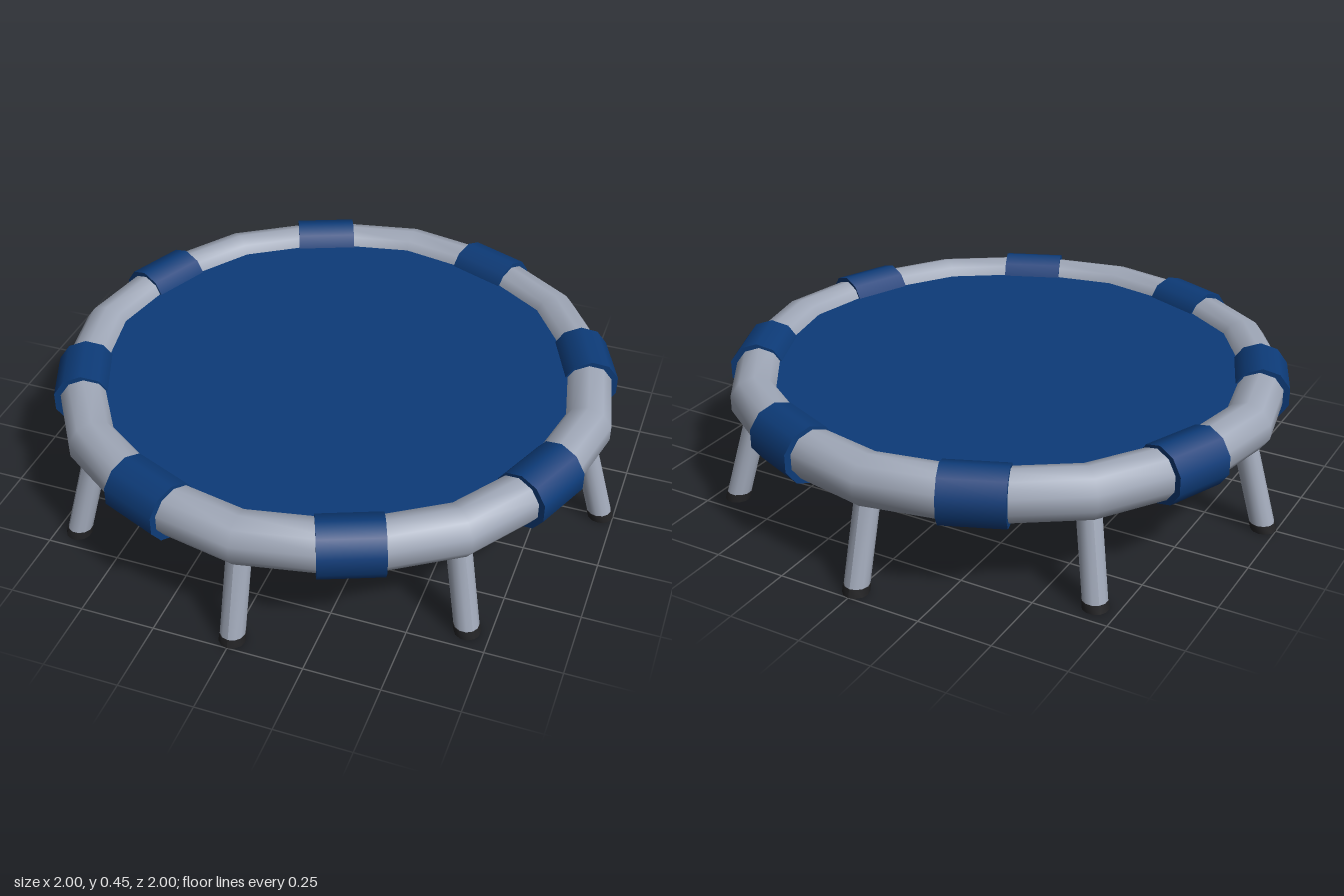
import * as THREE from 'three';

const RING_RADIUS = 0.871, RING_HEIGHT = 0.353, TUBE = 0.0855;
const LEG_BOTTOM = 0.957, LEG_SLOPE = 0.29; // outward lean per unit of height
const FOOT_HEIGHT = 0.026;

// Lean a vertical geometry inward (towards -z) as it rises, keeping its ends level
function lean(geometry) {
  const p = geometry.attributes.position;
  for (let i = 0; i < p.count; i++) {
    p.setZ(i, p.getZ(i) + LEG_BOTTOM - LEG_SLOPE * p.getY(i));
  }
  geometry.computeVertexNormals();
  return geometry;
}

export function createModel() {
  const model = new THREE.Group();
  model.name = 'trampoline';

  const material = (name, color) => {
    const m = new THREE.MeshStandardMaterial({ color });
    m.name = name;
    return m;
  };
  const blue = material('blue fabric', 0x0d3b78);
  const grey = material('grey metal', 0xa0a8b8);
  const black = material('black rubber', 0x222224);

  const add = (name, geometry, mat, angle = 0) => {
    const mesh = new THREE.Mesh(geometry, mat);
    mesh.name = name;
    mesh.rotation.y = angle;
    model.add(mesh);
  };

  // Frame: ten-sided tube swept round in sixteen straight runs
  const section = [];
  for (let i = 0; i <= 10; i++) {
    const a = -Math.PI / 2 + (i / 10) * Math.PI * 2;
    section.push(new THREE.Vector2(
      RING_RADIUS + TUBE * Math.cos(a), RING_HEIGHT + TUBE * Math.sin(a)));
  }
  add('frameRing', new THREE.LatheGeometry(section, 16), grey);

  // Jumping mat, tucked into the frame
  const mat = new THREE.CylinderGeometry(0.825, 0.825, 0.008, 16);
  mat.translate(0, 0.39, 0);
  add('jumpingMat', mat, blue);

  // Padded sleeve wrapped across the frame
  const sleeve = new THREE.CylinderGeometry(0.099, 0.099, 0.21, 10);
  sleeve.rotateY(Math.PI / 2);
  sleeve.rotateZ(Math.PI / 2);
  sleeve.translate(0, RING_HEIGHT, 0.859);

  // Hollow leg, ending inside the frame
  const leg = new THREE.CylinderGeometry(0.041, 0.041, 0.3, 12, 1, true);
  leg.translate(0, 0.16, 0);
  lean(leg);

  // Rubber foot with an open middle
  const foot = lean(new THREE.LatheGeometry([
    [0.03, FOOT_HEIGHT], [0.03, 0], [0.03, 0], [0.043, 0],
    [0.043, 0], [0.043, FOOT_HEIGHT], [0.043, FOOT_HEIGHT], [0.041, FOOT_HEIGHT],
  ].map(([x, y]) => new THREE.Vector2(x, y)), 12));

  for (let i = 0; i < 8; i++) {
    const angle = (i / 8) * Math.PI * 2;
    add('sleeve', sleeve, blue, angle + Math.PI / 8);
    add('leg', leg, grey, angle);
    add('foot', foot, black, angle);
  }
  return model;
}
